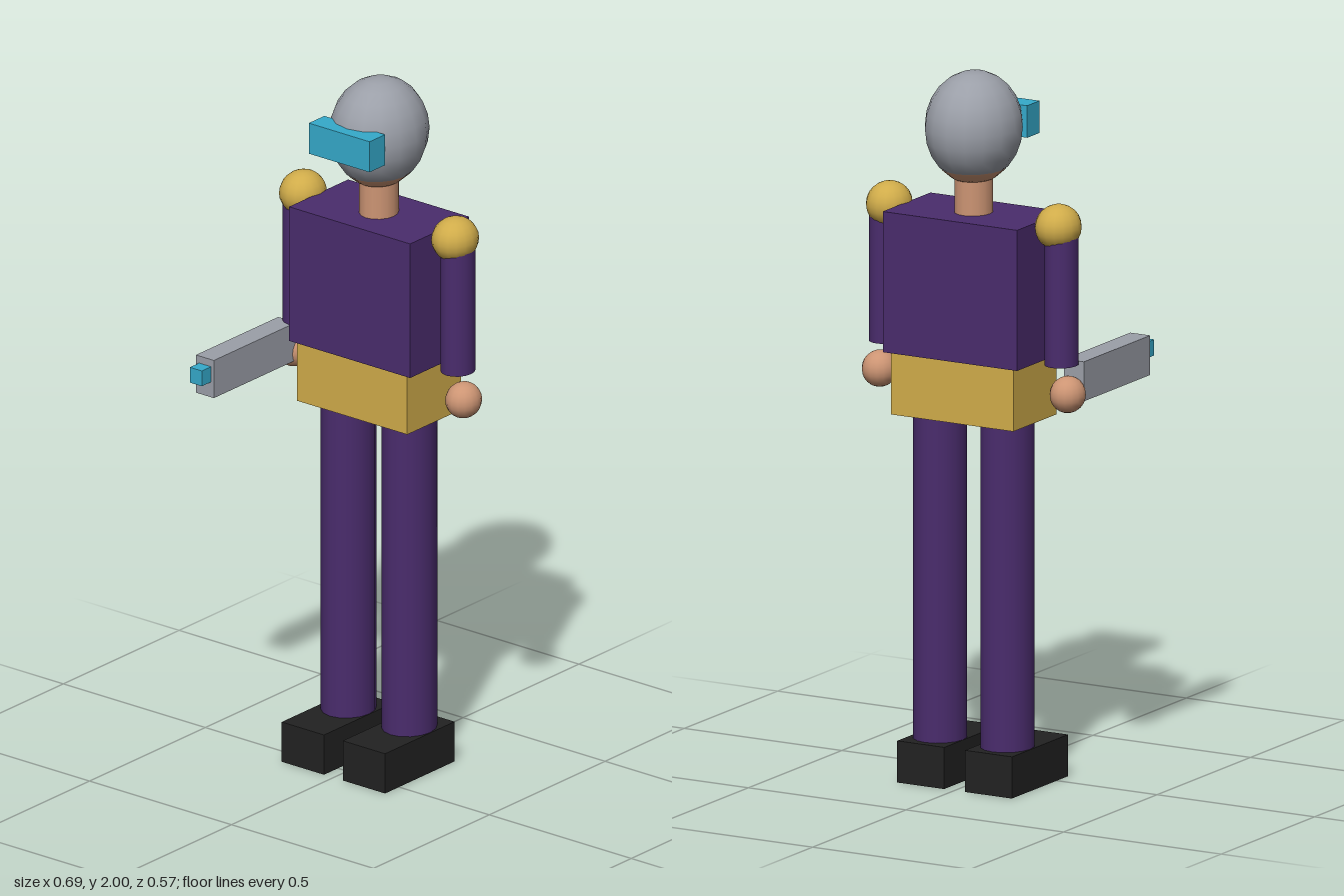
import * as THREE from 'three';

const flat = (name, color) => {
  const m = new THREE.MeshStandardMaterial({ color });
  m.name = name;
  return m;
};

export function createModel() {
  const purple = flat('purple suit', 0x4a2c6d);
  const gold = flat('gold', 0xd0ac4a);
  const steel = flat('steel grey', 0x9b9fa8);
  const cyan = flat('cyan glow', 0x35aacb);
  const skin = flat('skin', 0xcd9574);
  const black = flat('boot black', 0x222222);

  const model = new THREE.Group();
  model.name = 'figure';
  const Z = -0.137; // depth of the body axis

  const add = (name, geometry, material, x, y, z) => {
    const mesh = new THREE.Mesh(geometry, material);
    mesh.name = name;
    mesh.position.set(x, y, z);
    model.add(mesh);
    return mesh;
  };
  // box given by its limits on each axis
  const box = (name, mat, [x0, x1], [y0, y1], [z0, z1]) =>
    add(name, new THREE.BoxGeometry(x1 - x0, y1 - y0, z1 - z0), mat,
      (x0 + x1) / 2, (y0 + y1) / 2, (z0 + z1) / 2);
  const ball = (name, mat, x, y, rx, ry, rz) =>
    add(name, new THREE.SphereGeometry(1, 16, 12).scale(rx, ry, rz), mat, x, y, Z);
  // upright oval column
  const column = (name, mat, x, y0, y1, rx, rz) =>
    add(name, new THREE.CylinderGeometry(1, 1, y1 - y0, 16).scale(rx, 1, rz), mat, x, (y0 + y1) / 2, Z);

  // head: the chin shows below the helmet shell
  ball('head', skin, 0, 1.825, 0.12, 0.14, 0.133);
  ball('helmet', steel, 0, 1.845, 0.132, 0.155, 0.147);
  box('visor', cyan, [-0.107, 0.107], [1.803, 1.893], [-0.032, 0.035]);
  column('neck', skin, 0, 1.58, 1.72, 0.052, 0.057);

  // trunk
  box('torso', purple, [-0.213, 0.213], [1.21, 1.605], [-0.265, -0.01]);
  box('belt', gold, [-0.194, 0.194], [1.035, 1.21], [-0.253, -0.021]);

  // limbs
  for (const [side, s] of [['left', 1], ['right', -1]]) {
    ball(side + 'Shoulder', gold, s * 0.268, 1.595, 0.063, 0.063, 0.069);
    column(side + 'Arm', purple, s * 0.278, 1.21, 1.6, 0.046, 0.051);
    ball(side + 'Hand', skin, s * 0.298, 1.128, 0.049, 0.051, 0.053);
    column(side + 'Leg', purple, s * 0.107, 0.11, 1.037, 0.073, 0.081);
    const xs = [s * 0.033, s * 0.182].sort((a, b) => a - b);
    box(side + 'Boot', black, xs, [0, 0.117], [-0.24, 0.06]);
  }

  // hand-held blaster on the right
  box('blasterBody', steel, [-0.333, -0.27], [1.107, 1.218], [-0.11, 0.245]);
  box('blasterTip', cyan, [-0.322, -0.28], [1.152, 1.197], [0.24, 0.285]);

  return model;
}
